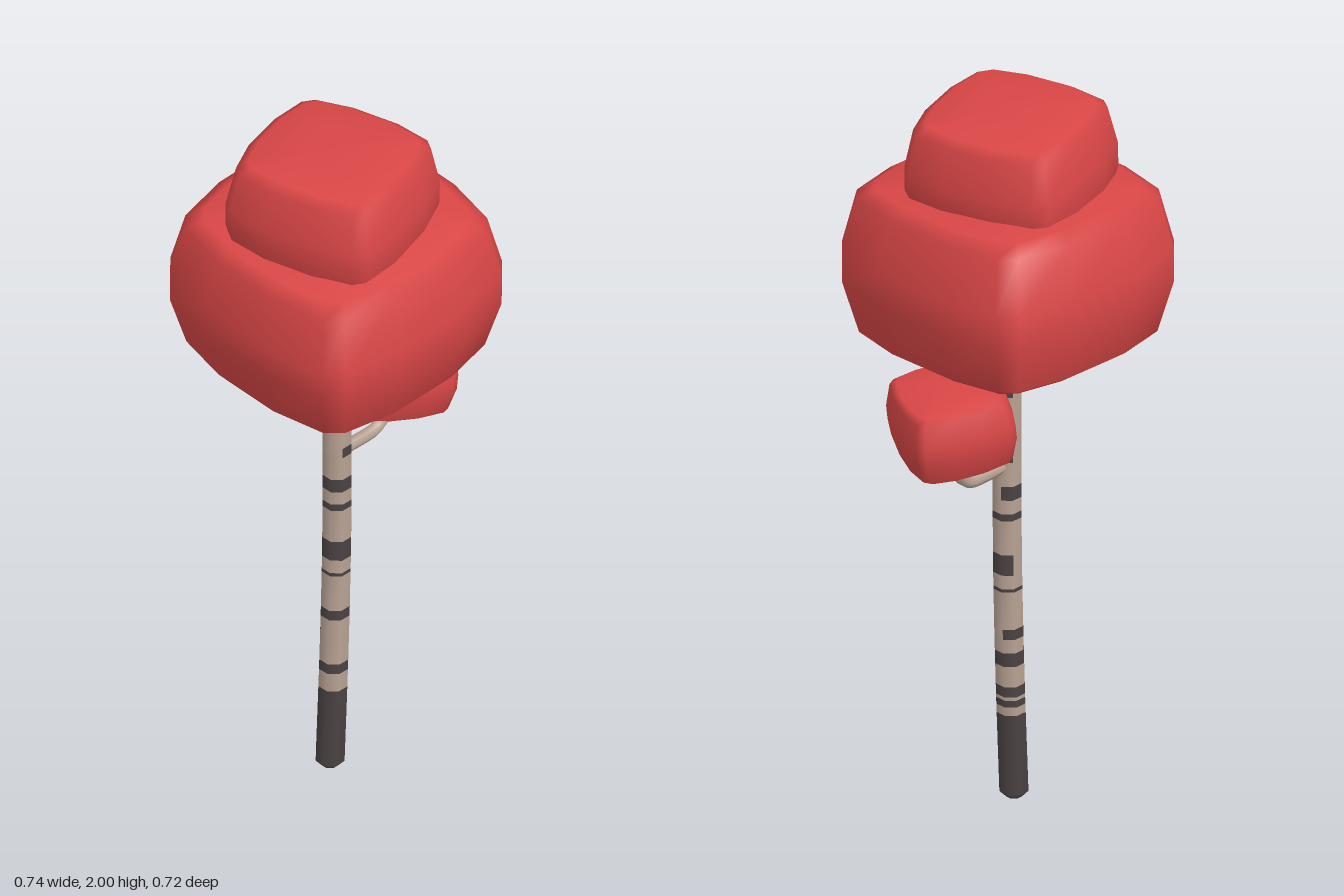
import * as THREE from 'three';

const mat = (name, color, side = THREE.FrontSide) => {
  const m = new THREE.MeshStandardMaterial({ color, side });
  m.name = name;
  return m;
};

// Skins a stack of closed rings; pick(row, side) returns the material index of each cell.
function loft(rings, pick = () => 0) {
  const n = rings[0].length;
  const cells = [[], []];
  for (let r = 0; r < rings.length - 1; r++) {
    for (let i = 0; i < n; i++) {
      const a = r * n + i, b = r * n + (i + 1) % n;
      cells[pick(r, i)].push(a, b, b + n, a, b + n, a + n);
    }
  }
  const g = new THREE.BufferGeometry();
  g.setAttribute('position', new THREE.Float32BufferAttribute(rings.flat(2), 3));
  g.setIndex([...cells[0], ...cells[1]]);
  g.addGroup(0, cells[0].length, 0);
  g.addGroup(cells[0].length, cells[1].length, 1);
  g.computeVertexNormals();
  return g;
}

// Softly bulging block: square outline with cut corners, swelling at mid height.
function blockGeometry() {
  const quarter = [[-0.31, 1], [0.31, 1], [0.78, 0.9], [0.9, 0.78]];
  const outline = [];
  for (let q = 0; q < 4; q++) {
    for (const [x, z] of quarter) {
      const c = Math.round(Math.cos(q * Math.PI / 2)), s = Math.round(Math.sin(q * Math.PI / 2));
      outline.push([x * c + z * s, -x * s + z * c]);
    }
  }
  const profile = [[-1, 0], [-1, 0.4], [-0.94, 0.79], [-0.82, 0.9], [-0.2, 1],
    [0.2, 1], [0.84, 0.91], [0.95, 0.8], [1, 0.4], [1, 0]];
  return loft(profile.map(([y, s]) => outline.map(([x, z]) => [x * s, y, z * s])));
}

// Dark bark marks: bottom, top, first side, number of sides (side 0 faces front, 2 faces left)
const marks = [
  [0, 0.255, 0, 8], [0.28, 0.3, 1, 4], [0.31, 0.34, 0, 8], [0.4, 0.44, 1, 5],
  [0.48, 0.51, 3, 7], [0.62, 0.63, 0, 8], [0.67, 0.73, 6, 6], [0.83, 0.85, 0, 8],
  [0.89, 0.93, 3, 7], [1.0, 1.03, 0, 4], [1.19, 1.24, 6, 6], [1.28, 1.295, 2, 5],
];

function trunkGeometry() {
  const heights = [...new Set([0.02, 1.36, ...marks.flatMap(m => [m[0], m[1]])])].sort((a, b) => a - b);
  const levels = [[0, 0], ...heights.map(y => [y, y === 0 ? 0.55 : 1]), [1.36, 0]];
  // gentle lean towards the foot
  const lean = y => -0.025 * Math.max(0, 1 - y / 0.8) ** 1.5;
  const rings = levels.map(([y, s]) => Array.from({ length: 8 }, (_, i) => {
    const a = (i - 0.5) * Math.PI / 4;
    return [lean(y) + 0.04 * s * Math.sin(a), y, -0.012 + 0.04 * s * Math.cos(a)];
  }));
  return loft(rings, (r, side) => {
    const y = (levels[r][0] + levels[r + 1][0]) / 2;
    return marks.some(([y0, y1, first, count]) =>
      y >= y0 && y < y1 && (side - first + 8) % 8 < count) ? 1 : 0;
  });
}

export function createModel() {
  const group = new THREE.Group();
  const red = mat('red leaves', 0xd94646);
  const bark = mat('pale bark', 0xb9a394);
  const dark = mat('dark bark', 0x4b4343);

  const add = (name, geometry, material) => {
    const m = new THREE.Mesh(geometry, material);
    m.name = name;
    group.add(m);
    return m;
  };

  add('trunk', trunkGeometry(), [bark, dark]);

  // Bent side branch
  const path = new THREE.CatmullRomCurve3([
    [0.01, 0.985], [0.08, 0.982], [0.145, 0.986], [0.175, 1.01], [0.19, 1.06], [0.2, 1.12],
  ].map(([x, y]) => new THREE.Vector3(x, y, -0.02)));
  add('branch', new THREE.TubeGeometry(path, 14, 0.018, 6), bark);

  // Foliage blocks: centre, half sizes, tilt
  const foliage = [
    ['mainFoliage', [-0.015, 1.56, 0], [0.357, 0.228, 0.357], [0.04, 0, 0.035]],
    ['topFoliage', [-0.035, 1.828, 0.008], [0.234, 0.167, 0.234], [0, 0.27, -0.025]],
    ['sideFoliage', [0.197, 1.177, -0.008], [0.15, 0.106, 0.15], [0, -0.45, -0.13]],
  ];
  for (const [name, centre, half, tilt] of foliage) {
    const leaf = add(name, blockGeometry().scale(...half), [red, red]);
    leaf.position.set(...centre);
    leaf.rotation.set(...tilt, 'ZYX');
  }
  return group;
}
